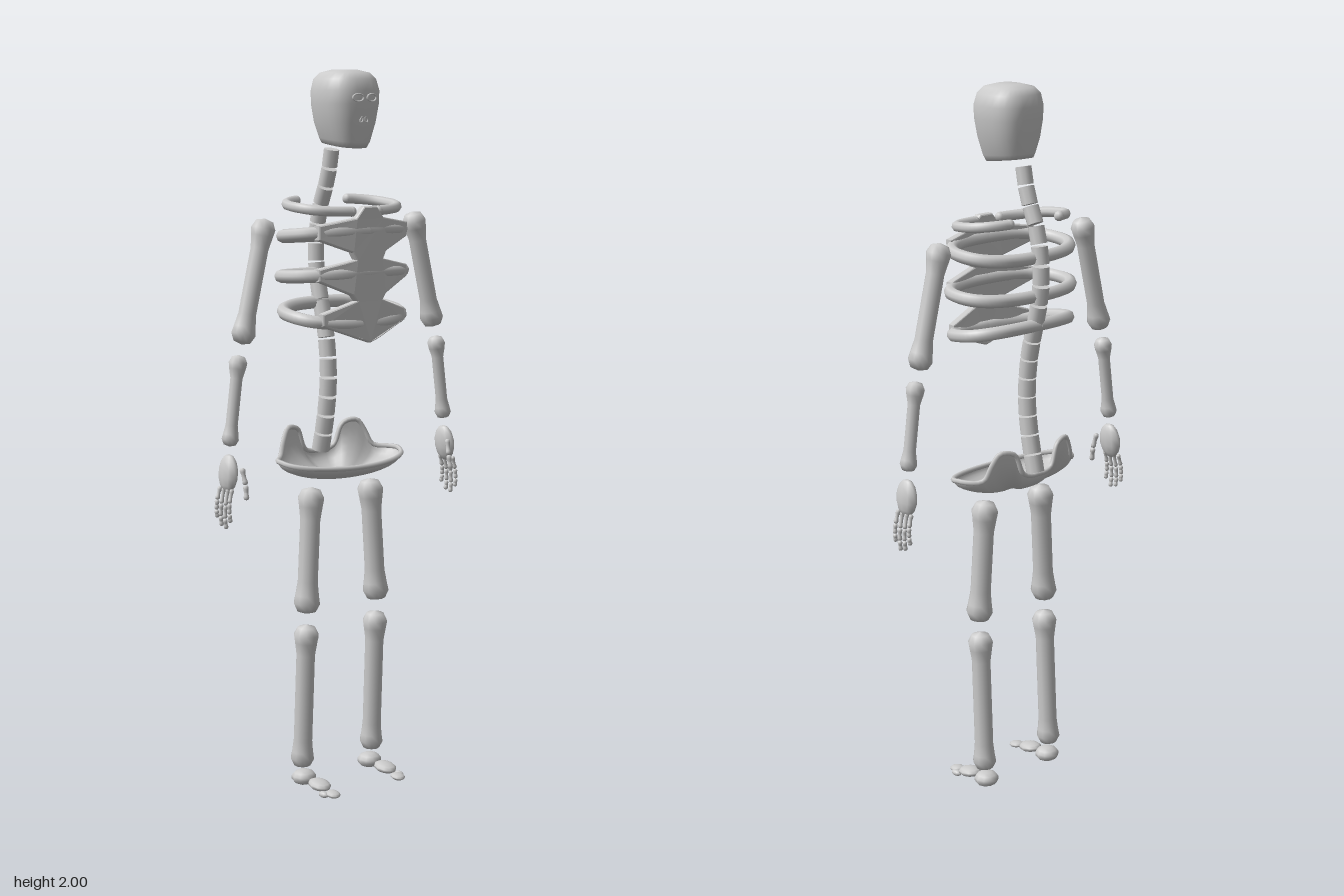
import * as THREE from 'three';

const V = (x, y, z) => new THREE.Vector3(x, y, z);
const mat = new THREE.MeshStandardMaterial({ color: 0xcccccc });
const thinMat = new THREE.MeshStandardMaterial({ color: 0xcccccc, side: THREE.DoubleSide });

function add(parent, name, geometry, material = mat) {
  const mesh = new THREE.Mesh(geometry, material);
  mesh.name = name;
  parent.add(mesh);
  return mesh;
}

// Surface through stacked loops; point(row, angle) gives each vertex.
function loft(rows, sides, point) {
  const pos = [], idx = [];
  for (let i = 0; i < rows; i++)
    for (let j = 0; j < sides; j++) pos.push(...point(i, (j / sides) * Math.PI * 2));
  for (let i = 0; i < rows - 1; i++)
    for (let j = 0; j < sides; j++) {
      const k = (j + 1) % sides, a = i * sides + j, b = i * sides + k;
      idx.push(a, a + sides, b, b, a + sides, b + sides);
    }
  const g = new THREE.BufferGeometry();
  g.setAttribute('position', new THREE.Float32BufferAttribute(pos, 3));
  g.setIndex(idx);
  g.computeVertexNormals();
  return g;
}

const power = (v, p) => Math.sign(v) * Math.abs(v) ** p;

// Aim a y-aligned mesh from a to b
function place(mesh, a, b) {
  mesh.position.copy(a).lerp(b, 0.5);
  mesh.quaternion.setFromUnitVectors(V(0, 1, 0), b.clone().sub(a).normalize());
}

// Long bone with a shaft and two knobbed ends
function bone(parent, name, a, b, rA, shaft, rB) {
  const L = a.distanceTo(b), h = L / 2;
  const profile = [
    [0, -h], [rA * 0.7, -h + rA * 0.2], [rA, -h + rA * 0.8], [rA * 0.9, -h + rA * 1.4], [shaft, -h + rA * 2.4],
    [shaft, h - rB * 2.4], [rB * 0.9, h - rB * 1.4], [rB, h - rB * 0.8], [rB * 0.7, h - rB * 0.2], [0, h],
  ].map(([x, y]) => new THREE.Vector2(x, y));
  place(add(parent, name, new THREE.LatheGeometry(profile, 10)), a, b);
}

function pebble(parent, name, x, y, z, rx, ry, rz) {
  const m = add(parent, name, new THREE.SphereGeometry(1, 10, 7));
  m.position.set(x, y, z);
  m.scale.set(rx, ry, rz);
  return m;
}

function buildSkull(root) {
  const skull = new THREE.Group();
  skull.name = 'skull';
  root.add(skull);
  // y, half width, back z, front z
  const rings = [
    [1.80, 0, 0.01, 0.02], [1.80, 0.05, -0.055, 0.08], [1.815, 0.058, -0.058, 0.088], [1.86, 0.075, -0.064, 0.097],
    [1.91, 0.084, -0.07, 0.104], [1.945, 0.085, -0.07, 0.105], [1.975, 0.078, -0.064, 0.096],
    [1.992, 0.062, -0.048, 0.08], [2.0, 0.03, -0.02, 0.05], [2.0, 0, 0.015, 0.015],
  ];
  add(skull, 'cranium', loft(rings.length, 28, (i, t) => {
    const [y, w, back, front] = rings[i];
    const z = (back + front) / 2 + ((front - back) / 2) * power(Math.sin(t), 0.78);
    const tilt = Math.max(0, (1.86 - y) / 0.06) * 0.13 * (0.015 - z);
    return [w * power(Math.cos(t), 0.78), y + tilt, z];
  }));
  // Eye sockets and nose opening
  for (const s of [-1, 1]) {
    const eye = add(skull, 'eyeSocket', new THREE.TorusGeometry(0.017, 0.003, 6, 16));
    eye.position.set(s * 0.023, 1.926, 0.103);
    eye.scale.y = 0.6;
    eye.rotation.y = s * 0.12;
    const nose = add(skull, 'nostril', new THREE.TorusGeometry(0.008, 0.0025, 5, 8));
    nose.position.set(s * 0.008, 1.868, 0.098);
    nose.scale.set(0.6, 1, 1);
    nose.rotation.z = s * 0.4;
  }
}

function buildSpine(root) {
  const spine = new THREE.Group();
  spine.name = 'spine';
  root.add(spine);
  const curve = new THREE.CatmullRomCurve3([
    V(0, 1.79, -0.04), V(0, 1.71, -0.058), V(0, 1.64, -0.088), V(0, 1.55, -0.109), V(0, 1.46, -0.109),
    V(0, 1.37, -0.09), V(0, 1.28, -0.067), V(0, 1.16, -0.056), V(0, 1.05, -0.068), V(0, 0.945, -0.092),
  ]);
  const count = 16;
  for (let i = 0; i < count; i++) {
    const a = curve.getPointAt((i + 0.06) / count), b = curve.getPointAt((i + 0.94) / count);
    const r = 0.022 + 0.004 * (i / count);
    place(add(spine, 'vertebra', new THREE.CylinderGeometry(r, r, a.distanceTo(b), 10)), a, b);
  }
}

function buildRibcage(root) {
  const cage = new THREE.Group();
  cage.name = 'ribcage';
  root.add(cage);
  // Rounded-oval path; angle 0 is the back, PI the front
  const ribPath = (s, from, to, w, back, front, yBack, yFront) => {
    const pts = [];
    for (let i = 0; i <= 14; i++) {
      const t = from + ((to - from) * i) / 14, k = (1 - Math.cos(t)) / 2;
      const z = (front + back) / 2 - ((front - back) / 2) * power(Math.cos(t), 0.82);
      pts.push(V(s * w * power(Math.sin(t), 0.82), yBack + (yFront - yBack) * k, z));
    }
    return new THREE.CatmullRomCurve3(pts);
  };
  for (const s of [-1, 1]) {
    // Width, back height, front height of each rib
    for (const [w, yb, yf] of [[0.18, 1.55, 1.575], [0.187, 1.445, 1.46], [0.178, 1.365, 1.325]])
      add(cage, 'rib', new THREE.TubeGeometry(ribPath(s, 0, Math.PI, w, -0.098, 0.112, yb, yf), 36, 0.018, 8));
    // Upper arch, open at both ends
    const arch = ribPath(s, 0.5, 2.93, 0.165, -0.095, 0.105, 1.65, 1.625);
    add(cage, 'collarbone', new THREE.TubeGeometry(arch, 28, 0.014, 8));
    for (const t of [0, 1]) {
      const p = arch.getPointAt(t);
      pebble(cage, 'collarboneEnd', p.x, p.y, p.z, 0.014, 0.014, 0.014);
    }
  }
  // Breastbone plate with arms that taper out onto the ribs
  const half = [
    [0.02, 1.635], [0.045, 1.605], [0.15, 1.588], [0.15, 1.555], [0.055, 1.52], [0.042, 1.495],
    [0.15, 1.472], [0.15, 1.445], [0.055, 1.405], [0.04, 1.385], [0.14, 1.352], [0.14, 1.325], [0.03, 1.285],
  ];
  const outline = [...half, [0, 1.275], ...half.slice().reverse().map(([x, y]) => [-x, y])];
  const plate = new THREE.ExtrudeGeometry(new THREE.Shape(outline.map(([x, y]) => new THREE.Vector2(x, y))),
    { depth: 0.012, bevelThickness: 0.006, bevelSize: 0.004, bevelSegments: 2 });
  const p = plate.attributes.position;
  for (let i = 0; i < p.count; i++) p.setZ(i, p.getZ(i) + 0.112 - 1.3 * p.getX(i) ** 2);
  plate.computeVertexNormals();
  add(cage, 'breastbone', plate);
}

function buildPelvis(root) {
  // Shallow bowl with two raised wings at the back
  const rimY = (t) => {
    const c = Math.abs(Math.cos(t)), s = Math.sin(t);
    return s > 0 ? 0.945 - 0.02 * s : 0.945 + 0.078 * Math.exp(-(((c - 0.52) / 0.22) ** 4));
  };
  const point = (k, t) => {
    const r = Math.sin((k * Math.PI) / 2);
    return [0.205 * r * Math.cos(t), 0.882 + (rimY(t) - 0.882) * k ** 1.7, -0.002 + 0.1 * r * Math.sin(t)];
  };
  add(root, 'pelvis', loft(10, 48, (i, t) => point(i / 9, t)), thinMat);
  const rim = [];
  for (let i = 0; i < 48; i++) rim.push(V(...point(1, (i / 48) * Math.PI * 2)));
  add(root, 'pelvisRim', new THREE.TubeGeometry(new THREE.CatmullRomCurve3(rim, true), 96, 0.007, 6, true));
}

function buildLimbs(root, s) {
  const side = s > 0 ? 'left' : 'right';
  const arm = new THREE.Group(), leg = new THREE.Group();
  arm.name = side + 'Arm';
  leg.name = side + 'Leg';
  root.add(arm, leg);

  bone(arm, 'upperArm', V(s * 0.338, 1.28, 0), V(s * 0.257, 1.61, 0), 0.034, 0.025, 0.034);
  bone(arm, 'forearm', V(s * 0.38, 1.01, 0), V(s * 0.347, 1.253, 0), 0.024, 0.017, 0.026);

  // Hand: flat palm, four fingers spread along z, and a thumb in front
  pebble(arm, 'palm', s * 0.385, 0.938, 0, 0.02, 0.052, 0.038).rotation.z = s * 0.08;
  const digit = (name, pts, r) => {
    for (let i = 0; i < pts.length - 1; i++) bone(arm, name, pts[i + 1], pts[i], r, r * 0.75, r);
  };
  for (let f = 0; f < 4; f++) {
    const z = 0.027 - f * 0.018, tip = [0.81, 0.79, 0.795, 0.815][f];
    const at = (k) => V(s * (0.392 + 0.012 * Math.sin(k * 2.4)), 0.9 + (tip - 0.9) * k, z * (1 + 0.12 * k));
    digit('finger', [at(0), at(0.42), at(0.74), at(1)], 0.0065);
  }
  digit('thumb', [V(s * 0.365, 0.955, 0.035), V(s * 0.361, 0.91, 0.046), V(s * 0.363, 0.87, 0.052)], 0.008);

  bone(leg, 'thighBone', V(s * 0.126, 0.51, 0.004), V(s * 0.104, 0.866, 0), 0.038, 0.029, 0.038);
  bone(leg, 'shinBone', V(s * 0.126, 0.06, -0.018), V(s * 0.124, 0.478, 0.002), 0.034, 0.027, 0.036);

  // Foot: heel, middle and toe
  pebble(leg, 'heel', s * 0.12, 0.03, -0.018, 0.036, 0.022, 0.034);
  pebble(leg, 'midfoot', s * 0.12, 0.026, 0.054, 0.03, 0.014, 0.037).rotation.x = 0.12;
  pebble(leg, 'toe', s * 0.118, 0.014, 0.112, 0.02, 0.009, 0.023).rotation.x = 0.12;
  pebble(leg, 'outerToe', s * 0.137, 0.012, 0.094, 0.011, 0.009, 0.018);
}

export function createModel() {
  const root = new THREE.Group();
  root.name = 'skeleton';
  buildSkull(root);
  buildSpine(root);
  buildRibcage(root);
  buildPelvis(root);
  for (const s of [-1, 1]) buildLimbs(root, s);
  return root;
}
